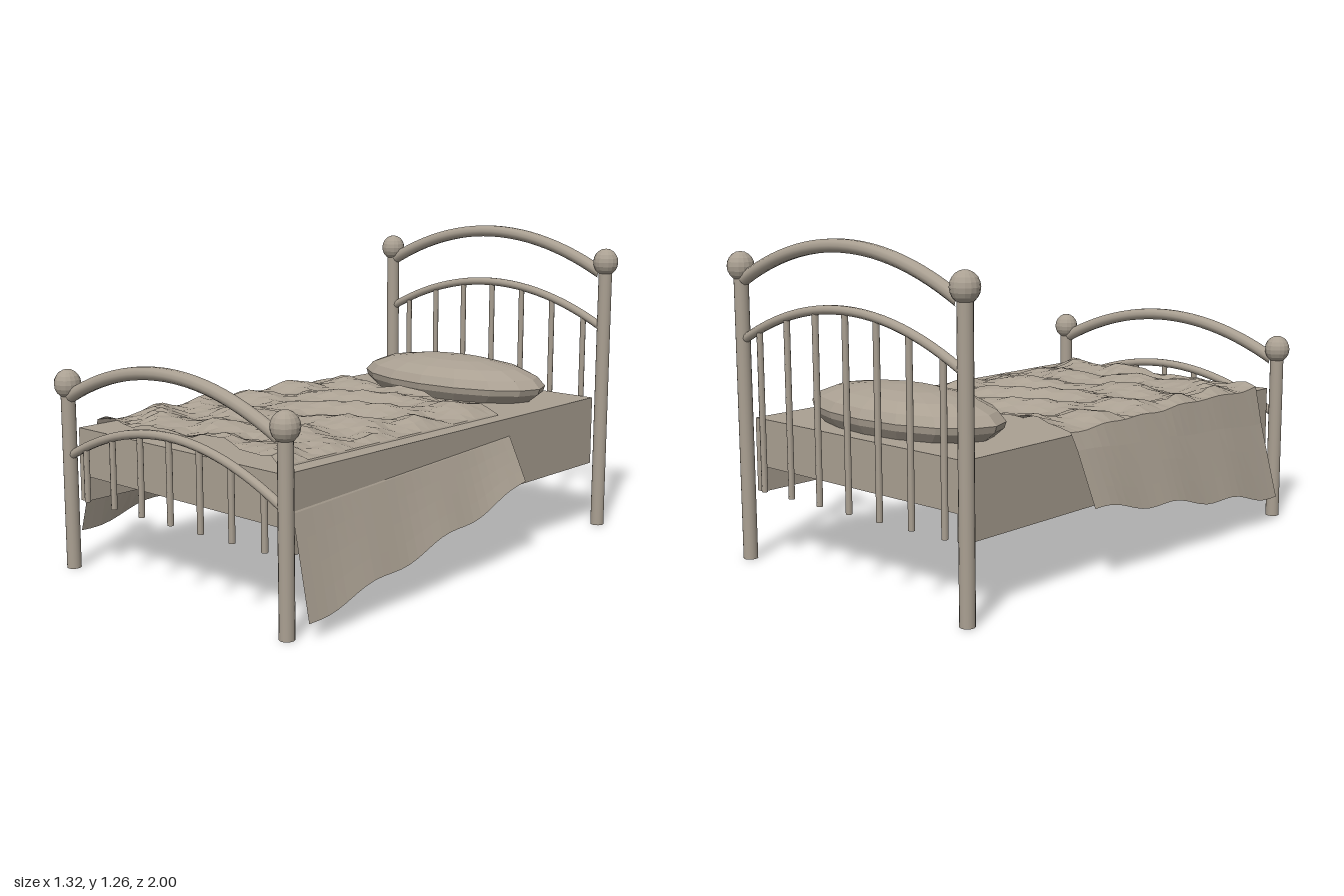
import * as THREE from 'three';

const metalAndLinen = new THREE.MeshStandardMaterial({ color: 0xaaa092 });
metalAndLinen.name = 'warm grey';
metalAndLinen.flatShading = true;
const smoothGrey = new THREE.MeshStandardMaterial({ color: 0xaaa092 });
smoothGrey.name = 'warm grey smooth';
const clothGrey = new THREE.MeshStandardMaterial({ color: 0xaaa092, side: THREE.DoubleSide });
clothGrey.name = 'warm grey cloth';
clothGrey.flatShading = true;

function add(parent, name, geometry, material, x = 0, y = 0, z = 0) {
  const mesh = new THREE.Mesh(geometry, material);
  mesh.name = name;
  mesh.position.set(x, y, z);
  parent.add(mesh);
  return mesh;
}

// Parabolic arch between the posts
const HALF = 0.565;
const archY = (x, mid, end) => mid - (mid - end) * (x / HALF) ** 2;

function archRail(parent, name, mid, end, radius) {
  const curve = new THREE.QuadraticBezierCurve3(
    new THREE.Vector3(-HALF, end, 0),
    new THREE.Vector3(0, 2 * mid - end, 0),
    new THREE.Vector3(HALF, end, 0)
  );
  add(parent, name, new THREE.TubeGeometry(curve, 24, radius, 10), smoothGrey);
}

// Headboard or footboard: posts with balls, two arches and spindles
function endFrame(name, z, ballY, upper, lower) {
  const frame = new THREE.Group();
  frame.name = name;
  frame.position.z = z;
  for (const s of [-1, 1]) {
    add(frame, 'post', new THREE.CylinderGeometry(0.028, 0.028, ballY, 16), smoothGrey, s * 0.585, ballY / 2, 0);
    const ball = add(frame, 'postBall', new THREE.SphereGeometry(0.052, 16, 10), metalAndLinen, s * 0.585, ballY, 0);
    ball.scale.y = 1.08;
  }
  archRail(frame, 'topRail', upper[0], upper[1], 0.025);
  archRail(frame, 'lowerRail', lower[0], lower[1], 0.017);
  for (let i = -3; i <= 3; i++) {
    const x = i * 0.161;
    const top = archY(x, lower[0], lower[1]);
    const height = top - 0.28;
    add(frame, 'spindle', new THREE.CylinderGeometry(0.012, 0.012, height, 8), smoothGrey, x, 0.28 + height / 2, 0);
  }
  return frame;
}

// Rumpled blanket: one grid with a drape on each side of the wavy top
function blanketGeometry() {
  const nL = 4, nM = 22, nR = 5, n = nL + nM + nR, rows = 26;
  const geo = new THREE.PlaneGeometry(1, 1, n, rows);
  const pos = geo.attributes.position;
  const lerp = THREE.MathUtils.lerp;
  for (let k = 0; k < pos.count; k++) {
    const i = k % (n + 1);
    const v = Math.floor(k / (n + 1)) / rows; // 0 at the head, 1 at the foot
    const ripple = 0.012 * Math.sin(v * 19);
    let x, y;
    if (i < nL) {
      const t = 1 - i / nL;
      x = lerp(-0.56, -0.66, t);
      y = lerp(lerp(0.57, 0.52, v), lerp(0.3, 0.11, v) + ripple, t);
    } else if (i <= nL + nM) {
      x = lerp(-0.555, 0.48, (i - nL) / nM);
      const z = lerp(-0.4, 0.83, v);
      const fade = Math.min(1, (0.48 - x) / 0.06, (x + 0.555) / 0.06 + 0.3);
      const wave = 0.011 * Math.sin(17 * x + 5 * Math.sin(4 * z)) +
        0.012 * Math.sin(24 * z + 2.2 * Math.sin(6 * x)) +
        0.005 * Math.sin(41 * x - 29 * z);
      y = 0.561 + fade * (0.024 + wave);
    } else {
      const t = (i - nL - nM - 1) / (nR - 1);
      x = lerp(0.558, 0.655, t);
      y = lerp(lerp(0.48, 0.415, v), lerp(0.32, 0.06, Math.pow(v, 0.85)) + ripple, t);
    }
    const bow = 0.16 * (x + 0.15) ** 2;
    pos.setXYZ(k, x, y, lerp(-0.41, 0.81, v) + bow);
  }
  geo.computeVertexNormals();
  return geo;
}

export function createModel() {
  const bed = new THREE.Group();
  bed.name = 'bed';

  bed.add(endFrame('headboard', -0.948, 1.132, [1.235, 1.085], [1.01, 0.862]));
  bed.add(endFrame('footboard', 0.948, 0.725, [0.825, 0.68], [0.603, 0.453]));

  // Mattress with a rail under each long side
  add(bed, 'mattress', new THREE.BoxGeometry(1.11, 0.185, 1.85), metalAndLinen, 0, 0.4625, 0);
  for (const s of [-1, 1]) {
    add(bed, 'sideRail', new THREE.BoxGeometry(0.035, 0.1, 1.85), metalAndLinen, s * 0.5375, 0.32, 0);
  }

  add(bed, 'blanket', blanketGeometry(), clothGrey);

  // Oval pillow with a flat underside
  const profile = [[0, 0], [0.88, 0], [0.98, 0.035], [1, 0.06], [0.92, 0.095], [0.72, 0.128], [0.4, 0.149], [0, 0.157]]
    .map(([r, h]) => new THREE.Vector2(r, h));
  const pillow = add(bed, 'pillow', new THREE.LatheGeometry(profile, 16), metalAndLinen, 0.01, 0.556, -0.657);
  pillow.scale.set(0.46, 1, 0.232);

  return bed;
}
